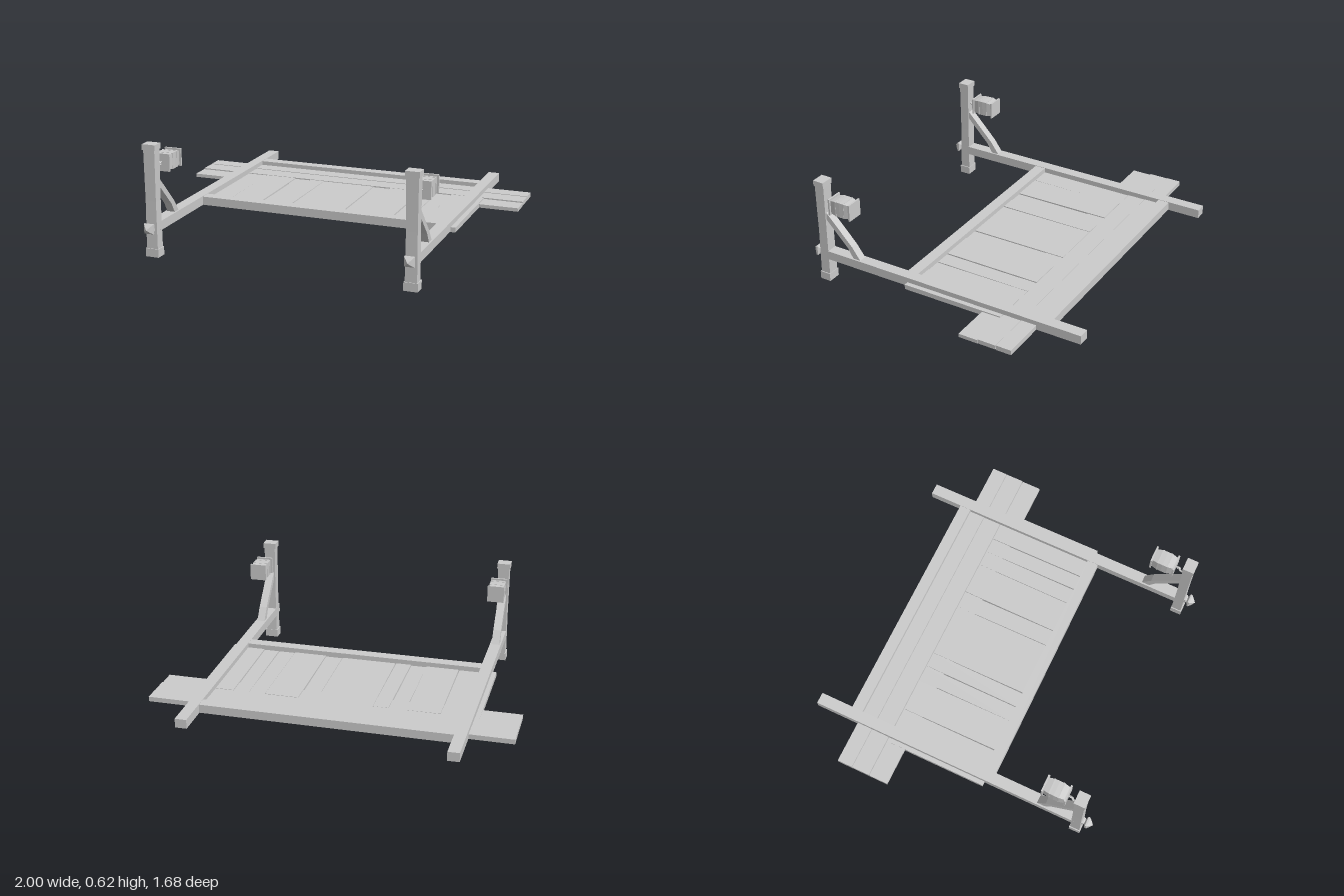
import * as THREE from 'three';

const mat = new THREE.MeshStandardMaterial({ color: 0xcccccc, flatShading: true });

function add(parent, name, geo, x = 0, y = 0, z = 0) {
  const m = new THREE.Mesh(geo, mat);
  m.name = name;
  m.position.set(x, y, z);
  parent.add(m);
  return m;
}

// box given by its minimum and maximum on each axis
function span(parent, name, x0, x1, y0, y1, z0, z1) {
  return add(parent, name, new THREE.BoxGeometry(x1 - x0, y1 - y0, z1 - z0),
    (x0 + x1) / 2, (y0 + y1) / 2, (z0 + z1) / 2);
}

// four-sided turned form lying along z; profile holds [half width, z]
function squareTurned(parent, name, profile, x, y, z) {
  const pts = profile.map(([w, h]) => new THREE.Vector2(w * Math.SQRT2, h));
  const geo = new THREE.LatheGeometry(pts, 4, Math.PI / 4).toNonIndexed();
  geo.rotateX(Math.PI / 2);
  geo.computeVertexNormals();
  return add(parent, name, geo, x, y, z);
}

// curved brace between post and side beam, drawn in z-y and extruded across x
function braceGeometry(width) {
  const s = new THREE.Shape();
  s.moveTo(0.735, 0.44);
  s.lineTo(0.565, 0.26);
  s.lineTo(0.508, 0.18);
  s.lineTo(0.555, 0.18);
  s.lineTo(0.592, 0.245);
  s.lineTo(0.735, 0.395);
  const geo = new THREE.ExtrudeGeometry(s, { depth: width, bevelEnabled: false });
  geo.rotateY(-Math.PI / 2);
  geo.translate(width / 2, 0, 0);
  return geo;
}

// hanging lantern lying along z, held by a small hook
function lantern(parent) {
  const g = new THREE.Group();
  g.name = 'lantern';
  g.position.set(0.015, 0.497, 0.605);
  parent.add(g);
  squareTurned(g, 'lanternBody',
    [[0, -0.062], [0.037, -0.062], [0.043, -0.03], [0.044, 0], [0.043, 0.03], [0.037, 0.062], [0, 0.062]], 0, 0, 0);
  for (const z of [-0.065, 0.065]) add(g, 'lanternPlate', new THREE.BoxGeometry(0.096, 0.096, 0.01), 0, 0, z);
  for (const z of [-0.025, 0.025]) add(g, 'lanternBand', new THREE.BoxGeometry(0.089, 0.089, 0.006), 0, 0, z);
  const hook = new THREE.CatmullRomCurve3([
    new THREE.Vector3(-0.01, -0.005, 0.125), new THREE.Vector3(-0.006, -0.014, 0.1),
    new THREE.Vector3(0, 0.002, 0.085), new THREE.Vector3(0, 0, 0.066)]);
  add(g, 'lanternHook', new THREE.TubeGeometry(hook, 10, 0.006, 5));
  add(g, 'hookRing', new THREE.TorusGeometry(0.01, 0.004, 4, 8), 0, -0.002, 0.086).rotation.y = Math.PI / 2;
}

function sideFrame(parent, name, x) {
  const g = new THREE.Group();
  g.name = name;
  g.position.x = x;
  parent.add(g);
  span(g, 'sideBeam', -0.032, 0.032, 0.139, 0.19, -0.842, 0.74);

  // post, slightly waisted between its base block and cap
  const post = new THREE.BoxGeometry(0.064, 0.56, 0.056, 1, 4, 1);
  const p = post.attributes.position;
  for (let i = 0; i < p.count; i++) {
    const k = 0.95 + 0.07 * Math.abs(p.getY(i)) / 0.28;
    p.setX(i, p.getX(i) * k);
    p.setZ(i, p.getZ(i) * k);
  }
  add(g, 'post', post, 0, 0.31, 0.752);
  span(g, 'postBase', -0.038, 0.038, 0, 0.046, 0.721, 0.785);
  span(g, 'postCap', -0.038, 0.038, 0.587, 0.618, 0.721, 0.785);

  add(g, 'brace', braceGeometry(0.045));
  // pointed peg where the beam passes through the post
  squareTurned(g, 'pegFinial',
    [[0, -0.01], [0.018, -0.01], [0.018, 0.008], [0.012, 0.014], [0.027, 0.023], [0.027, 0.033], [0.012, 0.05], [0, 0.062]],
    0, 0.165, 0.78);
  lantern(g);
}

export function createModel() {
  const root = new THREE.Group();
  root.name = 'platform';

  sideFrame(root, 'rightFrame', -0.727);
  sideFrame(root, 'leftFrame', 0.717);

  // cross rails between the side beams
  span(root, 'backRail', -0.71, 0.7, 0.14, 0.188, -0.653, -0.588);
  span(root, 'frontRail', -0.71, 0.7, 0.14, 0.188, 0.175, 0.239);

  // long planks running past both sides
  span(root, 'longPlank', -1, 1, 0.138, 0.165, -0.587, -0.5);
  span(root, 'longPlank', -1, 1, 0.139, 0.163, -0.497, -0.394);
  span(root, 'longPlank', -1, 1, 0.137, 0.157, -0.391, -0.281);

  // short floor boards with narrow, uneven gaps
  const seams = [-0.785, -0.575, -0.385, -0.295, -0.205, 0.11, 0.21, 0.4, 0.495, 0.582, 0.778];
  for (let i = 0; i < seams.length - 1; i++) {
    const lift = 0.003 * Math.sin(i * 2.3);
    const gap = 0.0015 + 0.001 * (i % 2);
    const board = span(root, 'floorBoard', seams[i] + gap, seams[i + 1] - gap,
      0.134 + lift * 0.5, 0.16 + lift, -0.39, 0.2);
    board.rotation.y = 0.006 * Math.sin(i * 1.7);
  }
  return root;
}
